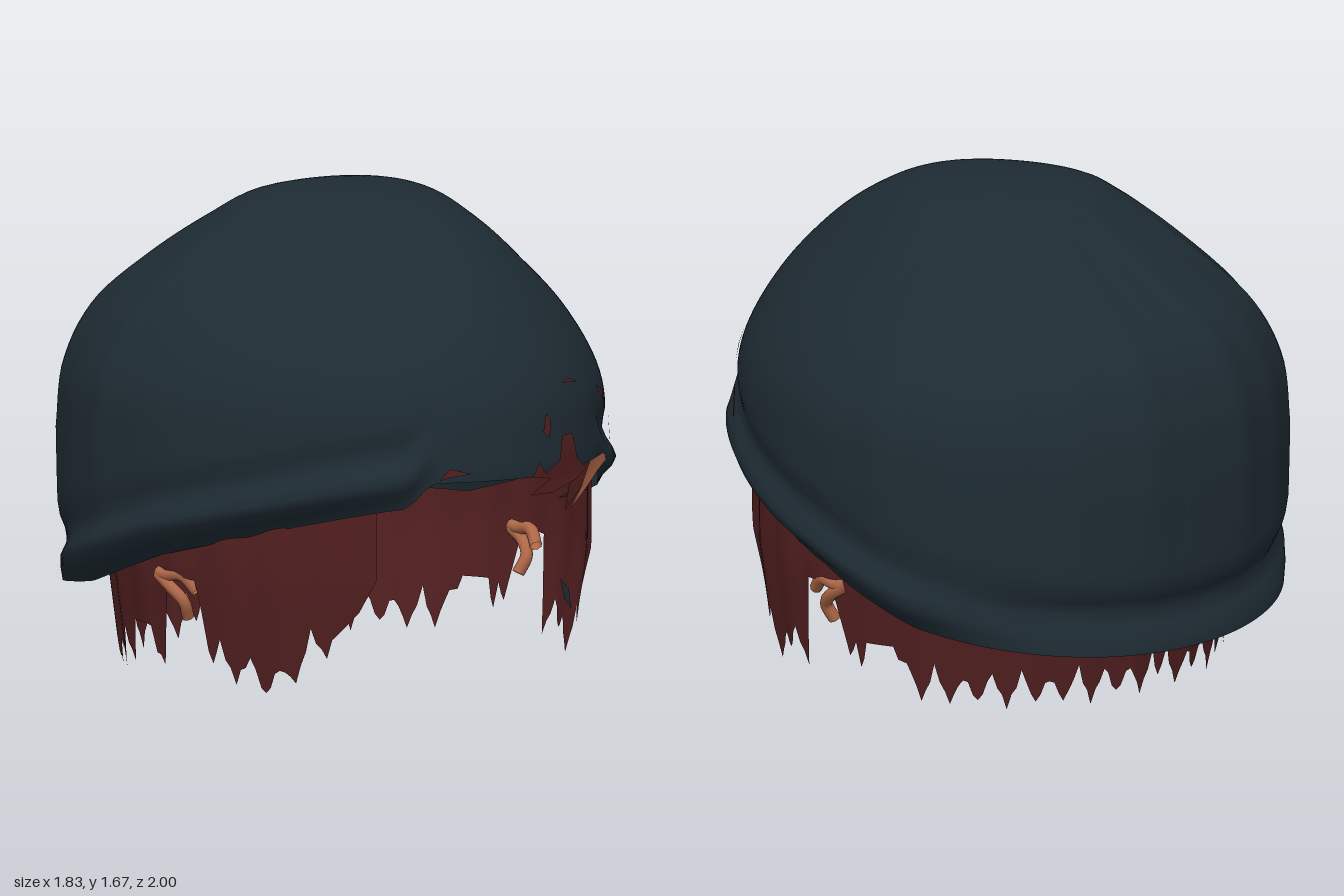
import * as THREE from 'three';

const D = Math.PI / 180;
const capMat = new THREE.MeshStandardMaterial({ color: 0x1e2b33, side: THREE.DoubleSide });
capMat.name = 'slate knit';
const hairMat = new THREE.MeshStandardMaterial({ color: 0x521f20, side: THREE.DoubleSide });
hairMat.name = 'auburn hair';
const skinMat = new THREE.MeshStandardMaterial({ color: 0xb06848, side: THREE.DoubleSide });
skinMat.name = 'skin';

// Piecewise linear lookup in [key, value] pairs sorted by key
function lookup(keys, k) {
  if (k <= keys[0][0]) return keys[0][1];
  for (let i = 1; i < keys.length; i++) {
    const [a, va] = keys[i - 1], [b, vb] = keys[i];
    if (k <= b) return va + (vb - va) * (k - a) / (b - a);
  }
  return keys[keys.length - 1][1];
}
const gauss = (d, w) => Math.exp(-(d * d) / (w * w));
const smooth = THREE.MathUtils.smoothstep;

// Horizontal sections of the dome (half width, front depth, back depth),
// at equal steps of arc from the widest level to the crown
const dome = new THREE.CatmullRomCurve3([
  [0.89, 0.995, 0.995], [0.864, 0.96, 0.965], [0.75, 0.85, 0.87], [0.585, 0.695, 0.64],
  [0.435, 0.51, 0.42], [0.285, 0.31, 0.26], [0, 0, 0],
].map(p => new THREE.Vector3(...p)), false, 'catmullrom', 0.5);

function section(y) {
  const t = Math.min(1, Math.max(0, (y - 0.85) / 0.86));
  const { x, y: f, z: b } = dome.getPoint(Math.asin(t) / (Math.PI / 2));
  return { w: x, f, b };
}

// Point on the dome; the plan is egg shaped, fuller at the back
function domePoint(a, y, off) {
  const c = Math.cos(a), s = Math.sin(a), { w, f, b } = section(y);
  const egg = -0.11 * c * s * s * Math.min(1, w / 0.6);
  return [s * (w + off + egg), y, c * ((c > 0 ? f : b) + off + egg)];
}

// Grid surface: columns x rows from a point function
function grid(cols, rows, closed, point) {
  const pos = [], idx = [], n = closed ? cols : cols + 1;
  for (let j = 0; j <= rows; j++)
    for (let i = 0; i < n; i++) pos.push(...point(i / cols, j / rows, i));
  for (let j = 0; j < rows; j++)
    for (let i = 0; i < cols; i++) {
      const a = j * n + i, b = j * n + (i + 1) % n, c = a + n, d = b + n;
      idx.push(a, b, d, a, d, c);
    }
  const g = new THREE.BufferGeometry();
  g.setAttribute('position', new THREE.Float32BufferAttribute(pos, 3));
  g.setIndex(idx);
  g.computeVertexNormals();
  return g;
}

// Rim height by front-to-back position; the front centre is cut higher
const rimKeys = [[-1, 0.26], [-0.77, 0.3], [-0.4, 0.36], [0, 0.5], [0.5, 0.62],
  [0.86, 0.71], [0.88, 0.75], [0.9, 0.8], [1, 0.8]];
const folds = [[106, 0.014, 3], [134, 0.018, 4], [166, 0.018, 5], [150, 0.006, 4]];

function capPoint(u, v) {
  const a = u * Math.PI * 2, c = Math.cos(a), s = Math.abs(Math.sin(a));
  const rim = lookup(rimKeys, c);
  const y = rim + (1.71 - rim) * Math.sin(v * Math.PI / 2);
  const h = y - rim, back = smooth(-c, 0.3, 0.9);
  // Rolled hem, tucked under at the sides, flared below a crease at the back
  const hem = smooth(0.93 - c, 0, 0.1);
  let off = hem * ((1 - back) * (0.028 * gauss(h - 0.1, 0.05) - 0.02 * gauss(h - 0.2, 0.05)
    - 0.06 * s * gauss(h, 0.05)) - back * 0.05 * gauss(h - 0.14, 0.055));
  // Vertical cloth folds
  const deg = (a > Math.PI ? 2 * Math.PI - a : a) / D;
  for (const [at, amp, wid] of folds)
    off += amp * gauss(deg - at, wid) * Math.sin(Math.PI * Math.min(1, v * 1.15));
  return domePoint(a, y, off);
}

// Hair sheet: column angles run from the temple to the nape, with a torn lower edge
const backHair = [[78, 0.14], [80, 0.26], [81.5, 0.42], [90, 0.43], [92, 0.3], [94, 0.18], [98, 0.12],
  [100, 0.24], [108, 0.24], [110, 0.15], [116, 0.1], [180, 0.1]];
const rightTemple = [[36, 0.45], [40, 0.34], [46, 0.25], [54, 0.16], [60, 0.08], [65, 0.07], [70, 0.13]];
const leftTemple = [[45, 0.52], [49, 0.4], [54, 0.26], [60, 0.12], [66, 0.09], [70, 0.15]];
const hairTop = [[-1, 0.53], [-0.3, 0.53], [0, 0.6], [0.5, 0.68], [0.8, 0.76]];

function hairSheet(side, temple) {
  const keys = [...temple, ...backHair], start = temple[0][0];
  return grid(110, 6, false, (u, v, i) => {
    const deg = start + (180 - start) * u, a = deg * D, c = Math.cos(a);
    let low = lookup(keys, deg);
    if (low < 0.23) {
      const wave = Math.abs((i % 6) - 3) / 3;
      low += (wave - 0.4) * (0.11 + 0.05 * Math.sin(i * 1.7));
    }
    low = Math.max(low, 0.03);
    const y = low + (lookup(hairTop, c) - low) * v;
    const r = 0.93 + 0.07 * Math.min(1, y / 0.45) + 0.006 * Math.sin(deg * 0.45);
    return [side * Math.sin(a) * 0.81 * r, y, c * (c > 0 ? 0.87 : 0.82) * r];
  });
}

// Thin patch wrapped onto the front of the dome
function frontPatch(points, lift) {
  const g = new THREE.ShapeGeometry(new THREE.Shape(points.map(p => new THREE.Vector2(...p))));
  const p = g.attributes.position;
  for (let i = 0; i < p.count; i++) {
    // Find the direction on the dome that gives this x
    let lo = 0, hi = Math.PI / 2;
    for (let k = 0; k < 24; k++) {
      const mid = (lo + hi) / 2;
      if (domePoint(mid, p.getY(i), 0)[0] < Math.abs(p.getX(i))) lo = mid; else hi = mid;
    }
    p.setZ(i, domePoint(lo, p.getY(i), 0)[2] + lift);
  }
  g.computeVertexNormals();
  return g;
}

export function createModel() {
  const model = new THREE.Group();
  const add = (name, geo, mat) => {
    const m = new THREE.Mesh(geo, mat);
    m.name = name;
    model.add(m);
  };

  add('cap', grid(160, 48, true, capPoint), capMat);
  add('hairRight', hairSheet(-1, rightTemple), hairMat);
  add('hairLeft', hairSheet(1, leftTemple), hairMat);

  // Ear fragments in the gaps of the hair
  for (const side of [-1, 1]) {
    const path = new THREE.CatmullRomCurve3([[0.77, 0.38, 0.11], [0.79, 0.43, 0.06], [0.8, 0.425, -0.02],
      [0.8, 0.43, -0.06], [0.8, 0.39, 0], [0.78, 0.34, 0.05], [0.75, 0.28, 0.04]]
      .map(([x, y, z]) => new THREE.Vector3(side * x, y, z)));
    add(side < 0 ? 'earRight' : 'earLeft', new THREE.TubeGeometry(path, 28, 0.022, 8), skinMat);
  }

  // Fringe showing through the torn front hem
  add('fringeLock', frontPatch([[-0.04, 0.74], [0.05, 0.79], [-0.03, 0.8], [0, 0.85], [0.03, 0.81], [0.1, 0.85],
    [0.12, 0.93], [0.18, 0.93], [0.2, 0.84], [0.26, 0.8], [0.18, 0.77], [0.06, 0.74]], 0.012), hairMat);
  add('fringeTip', frontPatch([[0.13, 0.67], [0.16, 0.77], [0.27, 0.82], [0.3, 0.8], [0.22, 0.73]], 0.006), hairMat);
  add('forehead', frontPatch([[0.15, 0.67], [0.22, 0.74], [0.28, 0.82], [0.4, 0.83], [0.46, 0.8],
    [0.35, 0.78], [0.25, 0.73]], 0.014), skinMat);

  // Small slits in the cloth
  const slits = [
    [[0.03, 0.95], [0.05, 1.01], [0.07, 0.99], [0.06, 0.93]],
    [[0.16, 1.1], [0.2, 1.112], [0.27, 1.09], [0.2, 1.1]],
    [[0.4, 1.06], [0.47, 1.03], [0.48, 0.98], [0.44, 1.02]],
    [[0.57, 0.92], [0.59, 0.93], [0.62, 0.83], [0.6, 0.83]],
    [[-0.36, 0.81], [-0.33, 0.85], [-0.26, 0.83], [-0.33, 0.82]],
  ];
  slits.forEach(s => add('slit', frontPatch(s, 0.009), hairMat));

  // Loose cloth scrap by the left temple
  add('scrap', new THREE.ShapeGeometry(new THREE.Shape([[0.52, 0.34], [0.56, 0.3], [0.57, 0.23], [0.54, 0.27]]
    .map(p => new THREE.Vector2(...p)))).translate(0, 0, 0.52), capMat);

  return model;
}
